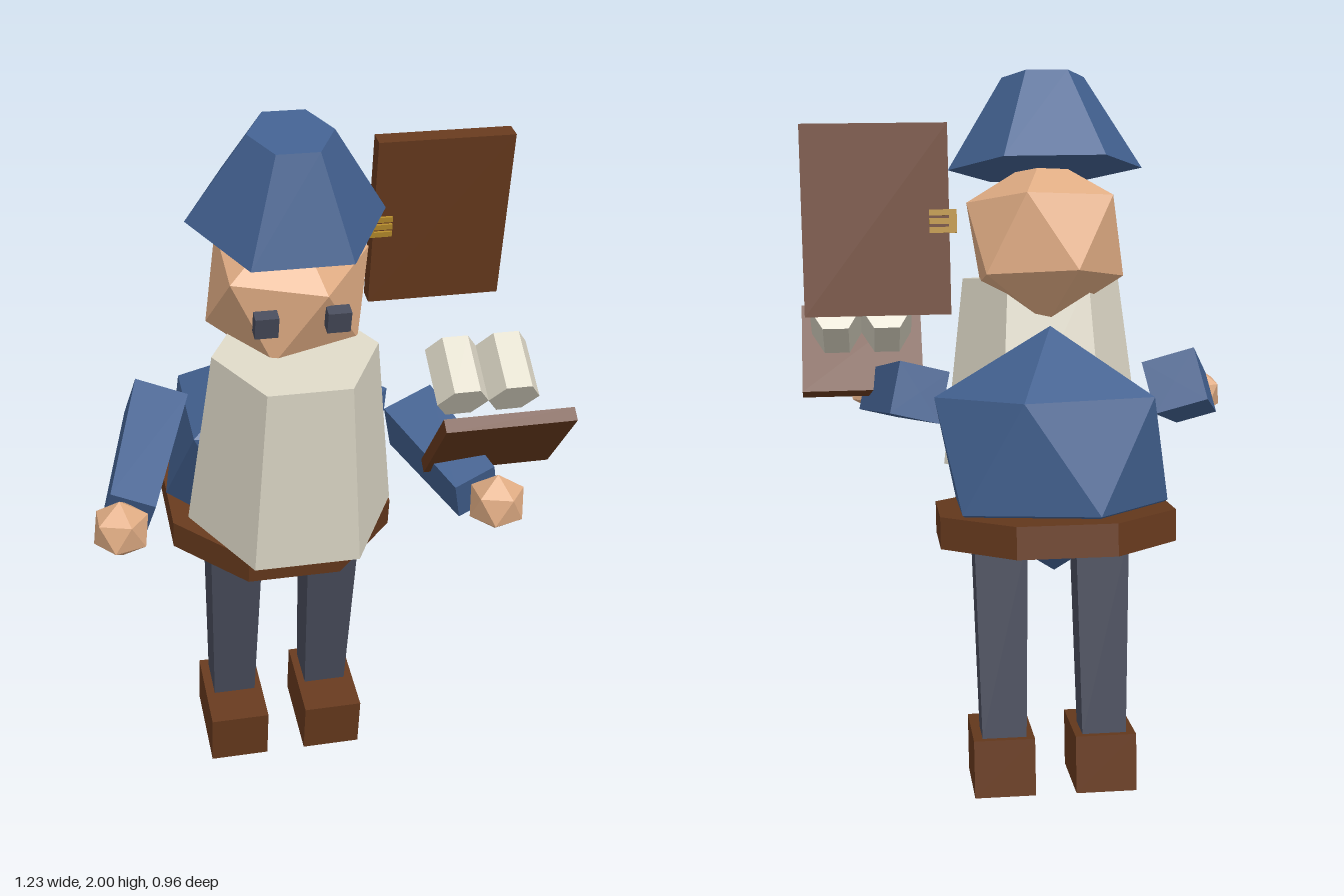
import * as THREE from 'three';
import { ConvexGeometry } from 'three/addons/geometries/ConvexGeometry.js';

const mat = (name, color) => {
  const m = new THREE.MeshStandardMaterial({ color });
  m.name = name;
  return m;
};

// Flat-faced copy of a geometry
const faceted = (geo) => {
  const g = geo.index ? geo.toNonIndexed() : geo;
  g.computeVertexNormals();
  return g;
};

// Prism or frustum with a flat side toward +z
const prism = (rTop, rBottom, height, sides) =>
  faceted(new THREE.CylinderGeometry(rTop, rBottom, height, sides, 1, false, Math.PI / sides));

const box = (w, h, d) => new THREE.BoxGeometry(w, h, d);

// Icosahedron standing on a corner, scaled on each axis
function ico(rx, ry, rz) {
  const pts = [new THREE.Vector3(0, ry, 0), new THREE.Vector3(0, -ry, 0)];
  for (let i = 0; i < 5; i++) {
    const a = (i * Math.PI * 2) / 5;
    const x = Math.cos(a) * 0.8944 * rx, z = Math.sin(a) * 0.8944 * rz;
    pts.push(new THREE.Vector3(x, 0.4472 * ry, z), new THREE.Vector3(-x, -0.4472 * ry, -z));
  }
  return new ConvexGeometry(pts);
}

export function createModel() {
  const blue = mat('blueCloth', 0x42608f);
  const brown = mat('brownLeather', 0x66391d);
  const skin = mat('skin', 0xe0ac84);
  const cream = mat('cream', 0xdad5c4);
  const slate = mat('slate', 0x484c5b);
  const gold = mat('gold', 0xb48a2c);

  const root = new THREE.Group();
  root.name = 'figure';
  const add = (parent, name, geo, material, x, y, z, rx = 0) => {
    const m = new THREE.Mesh(geo, material);
    m.name = name;
    m.position.set(x, y, z);
    m.rotation.x = rx;
    parent.add(m);
    return m;
  };

  // Torso, belt, legs, boots and beard share one forward lean
  const lean = new THREE.Group();
  lean.name = 'leaningBody';
  lean.position.x = -0.0625;
  lean.rotation.x = 0.174;
  root.add(lean);
  add(lean, 'torso', ico(0.352, 0.332, 0.287), blue, 0, 0.977, -0.306);
  add(lean, 'belt', prism(0.338, 0.338, 0.085, 8), brown, 0, 0.781, -0.305);
  add(lean, 'beard', prism(0.218, 0.282, 0.519, 6), cream, 0, 1.1755, -0.087);
  for (const [side, s] of [['left', 1], ['right', -1]]) {
    add(lean, side + 'Leg', prism(0.104, 0.087, 0.57, 4), slate, s * 0.14, 0.445, -0.195);
    add(lean, side + 'Boot', box(0.17, 0.163, 0.262), brown, s * 0.142, 0.0815, -0.147);
  }

  // Head bows a little further
  const head = new THREE.Group();
  head.name = 'head';
  head.position.set(-0.06, 1.557, 0.03);
  head.rotation.x = 0.28;
  root.add(head);
  add(head, 'face', ico(0.235, 0.227, 0.227), skin, 0, 0, 0);
  add(head, 'hat', prism(0.11, 0.26, 0.243, 6), blue, 0, 0.303, -0.05);
  for (const [side, s] of [['left', 1], ['right', -1]])
    add(head, side + 'Eye', box(0.06, 0.06, 0.035), slate, s * 0.092, 0.035, 0.2);

  // Arms run from shoulder to wrist, each with a faceted hand
  const arms = [
    ['left', [0.285, 1.14, 0.025], [0.385, 1.056, 0.335], [0.415, 1.065, 0.41]],
    ['right', [-0.4, 1.187, -0.095], [-0.519, 1.043, 0.24], [-0.545, 1.04, 0.305]],
  ];
  for (const [side, from, to, hand] of arms) {
    const a = new THREE.Vector3(...from), b = new THREE.Vector3(...to);
    const mid = a.clone().add(b).multiplyScalar(0.5);
    const arm = add(root, side + 'Arm', prism(0.104, 0.085, a.distanceTo(b), 4), blue, mid.x, mid.y, mid.z);
    arm.quaternion.setFromUnitVectors(new THREE.Vector3(0, -1, 0), b.sub(a).normalize());
    add(root, side + 'Hand', ico(0.079, 0.079, 0.079), skin, ...hand);
  }

  // Floating board with a gold clasp on its inner edge
  const board = new THREE.Group();
  board.name = 'tallBoard';
  board.position.set(0.395, 1.645, -0.15);
  board.rotation.x = 0.174;
  root.add(board);
  add(board, 'boardPanel', box(0.372, 0.483, 0.05), brown, 0, 0, 0);
  add(board, 'claspSpine', box(0.02, 0.06, 0.064), gold, -0.195, -0.005, 0);
  for (const z of [-0.028, 0.028])
    for (let i = -1; i <= 1; i++)
      add(board, 'claspProng', box(0.06, 0.015, 0.009), gold, -0.165, -0.005 + i * 0.022, z);

  // Tray held above the left hand, with two cream hexagonal rolls behind it
  add(root, 'tray', box(0.345, 0.28, 0.037), brown, 0.44, 1.193, 0.317, 0.72);
  for (const x of [0.37, 0.51])
    add(root, 'roll', prism(0.07, 0.07, 0.166, 6), cream, x, 1.315, 0.162, -0.927);

  return root;
}
